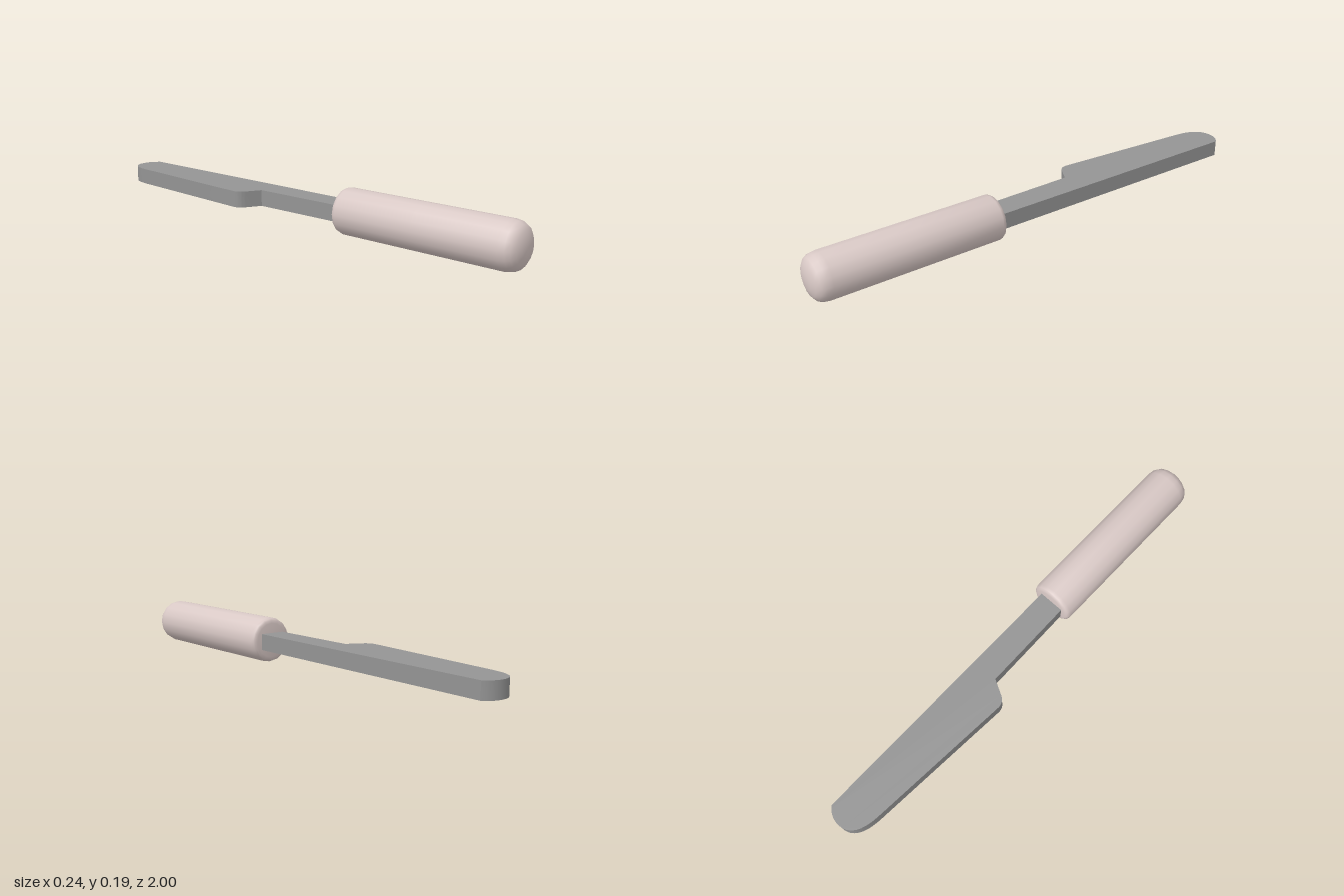
import * as THREE from 'three';
import { toCreasedNormals } from 'three/addons/utils/BufferGeometryUtils.js';

export function createModel() {
  const model = new THREE.Group();
  model.name = 'tableKnife';

  const handleMaterial = new THREE.MeshStandardMaterial({ color: 0xd9c9c6 });
  handleMaterial.name = 'pale pink handle';
  const bladeMaterial = new THREE.MeshStandardMaterial({ color: 0x949494 });
  bladeMaterial.name = 'grey steel';

  // Handle: 16-sided grip with a small bevel at the blade end and a domed butt
  const profile = [
    [0, 0.21], [0.072, 0.21], [0.083, 0.212], [0.09, 0.217], [0.094, 0.23],
    [0.094, 0.58], [0.094, 0.935], [0.09, 0.96], [0.08, 0.978],
    [0.062, 0.99], [0.034, 0.998], [0, 1],
  ].map(([r, z]) => new THREE.Vector2(r, z));
  const handleGeometry = toCreasedNormals(
    new THREE.LatheGeometry(profile, 16).rotateX(Math.PI / 2), 0.8);
  const handle = new THREE.Mesh(handleGeometry, handleMaterial);
  handle.name = 'handle';
  handle.position.set(0.027, 0.096, 0);
  model.add(handle);

  // Blade and tang: one outline drawn with y pointing to the tip, then laid flat
  const outline = new THREE.Shape();
  outline.moveTo(0.078, -0.25);
  outline.lineTo(0.078, 0.965);
  outline.bezierCurveTo(0.058, 0.99, 0.033, 1, 0.005, 1);
  outline.bezierCurveTo(-0.05, 1, -0.076, 0.955, -0.082, 0.88);
  outline.lineTo(-0.123, 0.26);
  outline.quadraticCurveTo(-0.123, 0.232, -0.095, 0.217);
  outline.lineTo(-0.034, 0.185);
  outline.lineTo(-0.028, -0.25);
  outline.closePath();
  const bladeGeometry = toCreasedNormals(
    new THREE.ExtrudeGeometry(outline, { depth: 0.067, bevelEnabled: false, curveSegments: 8 })
      .rotateX(-Math.PI / 2), 0.5);
  const blade = new THREE.Mesh(bladeGeometry, bladeMaterial);
  blade.name = 'blade';
  blade.position.y = 0.059;
  model.add(blade);

  return model;
}
